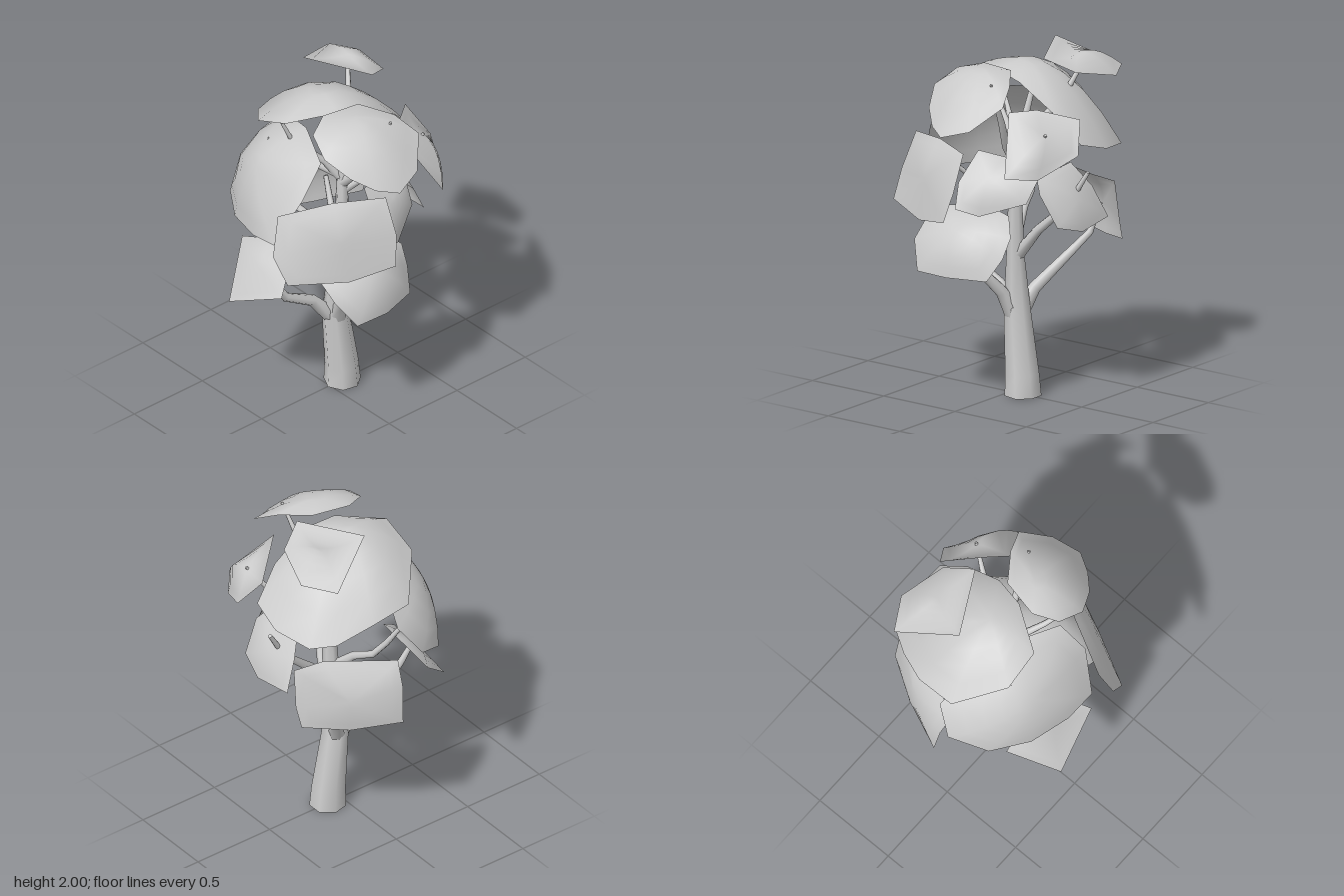
import * as THREE from 'three';

const V = (p) => new THREE.Vector3(p[0], p[1], p[2]);

function meshFrom(name, positions, index, side) {
  const g = new THREE.BufferGeometry();
  g.setAttribute('position', new THREE.Float32BufferAttribute(positions, 3));
  g.setIndex(index);
  g.computeVertexNormals();
  const m = new THREE.Mesh(g, new THREE.MeshStandardMaterial({ color: 0xcccccc, side }));
  m.name = name;
  return m;
}

// Tapered limb: a ring of vertices at each [x, y, z, radius], closed at both ends
function limb(name, path, sides) {
  const pos = [], index = [], pts = path.map(V), up = new THREE.Vector3(0, 1, 0);
  pts.forEach((p, i) => {
    const dir = pts[Math.min(i + 1, pts.length - 1)].clone().sub(pts[Math.max(i - 1, 0)]).normalize();
    if (i === 0 && p.y === 0) dir.copy(up);
    const q = new THREE.Quaternion().setFromUnitVectors(up, dir);
    for (let k = 0; k < sides; k++) {
      const a = (k / sides) * Math.PI * 2;
      const v = new THREE.Vector3(Math.sin(a), 0, Math.cos(a)).multiplyScalar(path[i][3]);
      pos.push(...v.applyQuaternion(q).add(p).toArray());
    }
  });
  for (let i = 0; i < pts.length - 1; i++) {
    for (let k = 0; k < sides; k++) {
      const a = i * sides + k, b = i * sides + ((k + 1) % sides);
      index.push(a, b, b + sides, a, b + sides, a + sides);
    }
  }
  // End caps on their own vertices, so the rims stay sharp
  for (const end of [0, pts.length - 1]) {
    const base = pos.length / 3;
    pos.push(...pos.slice(end * sides * 3, (end + 1) * sides * 3));
    for (let k = 1; k < sides - 1; k++) {
      index.push(base, ...(end ? [base + k, base + k + 1] : [base + k + 1, base + k]));
    }
  }
  return meshFrom(name, pos, index, THREE.FrontSide);
}

// Domed leaf panel: straight-edged outline falling away quadratically from the crown point.
// The dome faces along normal, or away from the middle of the outline.
function leafPanel(name, crown, outline, normal) {
  const rings = 5, n = outline.length, top = V(crown), edge = outline.map(V);
  const mid = edge.reduce((s, e) => s.add(e), new THREE.Vector3()).divideScalar(n);
  const axis = (normal ? V(normal) : top.clone().sub(mid)).normalize();
  const pos = [...crown], index = [];
  for (let r = 1; r <= rings; r++) {
    const t = r / rings;
    edge.forEach((e) => {
      const d = e.clone().sub(top), drop = d.dot(axis);
      const p = top.clone().addScaledVector(d, t).addScaledVector(axis, drop * (t * t - t));
      pos.push(p.x, p.y, p.z);
    });
  }
  for (let k = 0; k < n; k++) {
    const j = (k + 1) % n;
    index.push(0, 1 + k, 1 + j);
    for (let r = 0; r < rings - 1; r++) {
      const a = 1 + r * n + k, b = 1 + r * n + j;
      index.push(a, a + n, b + n, a, b + n, b);
    }
  }
  return meshFrom(name, pos, index, THREE.DoubleSide);
}

export function createModel() {
  const tree = new THREE.Group();
  tree.name = 'tree';

  // Trunk, leaning slightly forward and then back
  tree.add(limb('trunk', [
    [0.003, 0, -0.09, 0.105], [0.003, 0.12, -0.085, 0.097], [-0.003, 0.48, -0.045, 0.077], [0.02, 0.8, -0.05, 0.052],
    [0.035, 1.18, -0.06, 0.038], [0.035, 1.42, -0.06, 0.031], [0.02, 1.5, -0.06, 0.02]], 7));

  // Branches, each ending at its leaf panel
  const branches = {
    frontBranch: [[-0.01, 0.46, -0.02, 0.048], [-0.03, 0.6, 0.1, 0.034], [-0.05, 0.69, 0.28, 0.026],
      [-0.08, 0.82, 0.36, 0.02], [-0.1, 0.92, 0.41, 0.014]],
    rightLowBranch: [[-0.02, 0.46, -0.05, 0.052], [-0.09, 0.6, -0.1, 0.036], [-0.26, 0.8, -0.23, 0.025],
      [-0.33, 0.9, -0.3, 0.02], [-0.4, 1.06, -0.32, 0.014]],
    leftLowBranch: [[0.02, 0.46, -0.04, 0.052], [0.09, 0.6, -0.01, 0.036], [0.26, 0.79, 0.06, 0.025],
      [0.33, 0.88, 0.1, 0.02], [0.4, 1.02, 0.14, 0.012]],
    backBranch: [[0.02, 0.8, -0.06, 0.038], [0.01, 0.97, -0.2, 0.027], [-0.01, 1.15, -0.4, 0.02], [-0.03, 1.35, -0.52, 0.012]],
    rightMidBranch: [[0.02, 0.9, -0.05, 0.035], [-0.12, 1.04, 0.0, 0.024], [-0.24, 1.1, 0.04, 0.02],
      [-0.31, 1.2, 0.08, 0.018], [-0.4, 1.36, 0.13, 0.012]],
    leftMidBranch: [[0.035, 1.14, -0.06, 0.03], [0.13, 1.24, 0.0, 0.022], [0.25, 1.27, 0.06, 0.017], [0.34, 1.37, 0.12, 0.012]],
    backLeftBranch: [[0.035, 1.3, -0.06, 0.03], [0.1, 1.38, -0.22, 0.022], [0.2, 1.45, -0.34, 0.017], [0.27, 1.62, -0.455, 0.009]],
    upperLeftBranch: [[0.035, 1.35, -0.06, 0.032], [0.14, 1.46, -0.08, 0.024], [0.21, 1.62, -0.1, 0.019], [0.355, 1.875, -0.14, 0.008]],
    upperFrontBranch: [[0.03, 1.38, -0.06, 0.03], [-0.02, 1.5, 0.02, 0.021], [-0.1, 1.67, 0.19, 0.015], [-0.12, 1.81, 0.25, 0.009]],
    upperSideBranch: [[0.03, 1.4, -0.06, 0.03], [-0.1, 1.48, 0.06, 0.02], [-0.25, 1.63, 0.24, 0.01]],
    topBranch: [[0.03, 1.4, -0.06, 0.034], [-0.04, 1.56, -0.16, 0.025], [-0.15, 1.74, -0.27, 0.018], [-0.24, 1.935, -0.34, 0.01]],
    crownBranch: [[0.03, 1.4, -0.06, 0.03], [-0.04, 1.62, -0.08, 0.02], [-0.12, 1.87, -0.1, 0.012]],
  };
  for (const [name, path] of Object.entries(branches)) tree.add(limb(name, path, 7));

  // Leaf panels: crown point, outline and, where the crown is off centre, the dome's normal
  const panels = {
    topLeaf: [[-0.21, 1.965, -0.32],
      [[-0.49, 1.85, -0.4], [-0.3, 1.845, -0.51], [-0.04, 1.905, -0.43], [0.05, 1.98, -0.27], [-0.31, 2, -0.075]]],
    crownLeaf: [[-0.1, 1.905, -0.03],
      [[-0.535, 1.6, 0.06], [-0.53, 1.56, -0.18], [-0.44, 1.45, -0.37], [-0.36, 1.44, -0.5], [-0.14, 1.47, -0.565],
        [0.06, 1.53, -0.54], [0.11, 1.7, -0.38], [0.125, 1.84, -0.16], [0.085, 1.87, 0.02], [-0.07, 1.83, 0.265],
        [-0.295, 1.74, 0.27]], [0, 1, 0]],
    upperLeftLeaf: [[0.23, 1.912, 0.01],
      [[0.08, 1.895, 0.12], [0.125, 1.9, -0.1], [0.29, 1.86, -0.22], [0.43, 1.78, -0.28], [0.565, 1.65, -0.15],
        [0.61, 1.6, 0.016], [0.54, 1.63, 0.13], [0.44, 1.7, 0.23], [0.3, 1.79, 0.3], [0.15, 1.86, 0.255]], [0, 1, 0]],
    frontLeaf: [[-0.2, 1.53, 0.37],
      [[-0.61, 1.295, 0.1], [-0.54, 1.47, -0.02], [-0.31, 1.68, 0.04], [-0.07, 1.735, 0.11], [0.19, 1.68, 0.23],
        [0.22, 1.52, 0.39], [0.125, 1.23, 0.52], [-0.06, 1.2, 0.51], [-0.295, 1.18, 0.44], [-0.495, 1.185, 0.3]],
      [-0.25, 0.5, 0.8]],
    backLeftLeaf: [[0.27, 1.61, -0.45],
      [[0.04, 1.67, -0.52], [0.16, 1.5, -0.6], [0.39, 1.39, -0.49], [0.53, 1.41, -0.37], [0.31, 1.72, -0.23], [0.2, 1.73, -0.34]]],
    leftLeaf: [[0.42, 1.28, 0.28],
      [[0.17, 1.45, 0.53], [0.31, 1.485, 0.25], [0.45, 1.475, -0.02], [0.54, 1.27, -0.02], [0.58, 1.1, 0.02],
        [0.475, 1.05, 0.27], [0.31, 1.08, 0.58], [0.21, 1.23, 0.6]], [0.85, 0.2, 0.45]],
    innerLeaf: [[0.36, 1.34, -0.13],
      [[0.2, 1.365, -0.37], [0.2, 1.42, -0.13], [0.29, 1.46, 0], [0.43, 1.3, 0.03], [0.5, 1.165, 0],
        [0.44, 1.13, -0.12], [0.3, 1.21, -0.345]], [0.75, 0.6, -0.25]],
    leftLowLeaf: [[0.43, 1.015, 0.05],
      [[0.3, 1.02, 0.35], [0.22, 1.085, 0.25], [0.18, 1.11, 0], [0.22, 1.09, -0.16], [0.32, 1, -0.25],
        [0.38, 0.89, -0.24], [0.46, 0.77, -0.19], [0.53, 0.77, 0.04], [0.52, 0.77, 0.25], [0.43, 0.92, 0.34]],
      [0.7, 0.7, 0]],
    frontLowLeaf: [[-0.1, 0.935, 0.43],
      [[-0.37, 0.955, 0.32], [-0.15, 1.035, 0.29], [0.06, 1, 0.34], [0.155, 0.875, 0.49], [-0.195, 0.715, 0.57]]],
    rightLowLeaf: [[-0.46, 1.04, -0.29],
      [[-0.59, 0.86, -0.02], [-0.56, 1.08, 0], [-0.49, 1.21, 0.02], [-0.29, 1.25, -0.35], [-0.26, 1.25, -0.53],
        [-0.29, 1.02, -0.54], [-0.33, 0.9, -0.53], [-0.47, 0.86, -0.3]], [-0.85, 0.2, -0.45]],
    backLeaf: [[0.02, 1.2, -0.49],
      [[-0.2, 1.06, -0.53], [0.05, 1.03, -0.545], [0.22, 1.08, -0.5], [0.25, 1.26, -0.4], [0.2, 1.33, -0.34],
        [-0.08, 1.37, -0.36], [-0.16, 1.23, -0.45]], [0, 0.5, -0.85]],
  };
  for (const [name, panel] of Object.entries(panels)) tree.add(leafPanel(name, ...panel));

  return tree;
}
